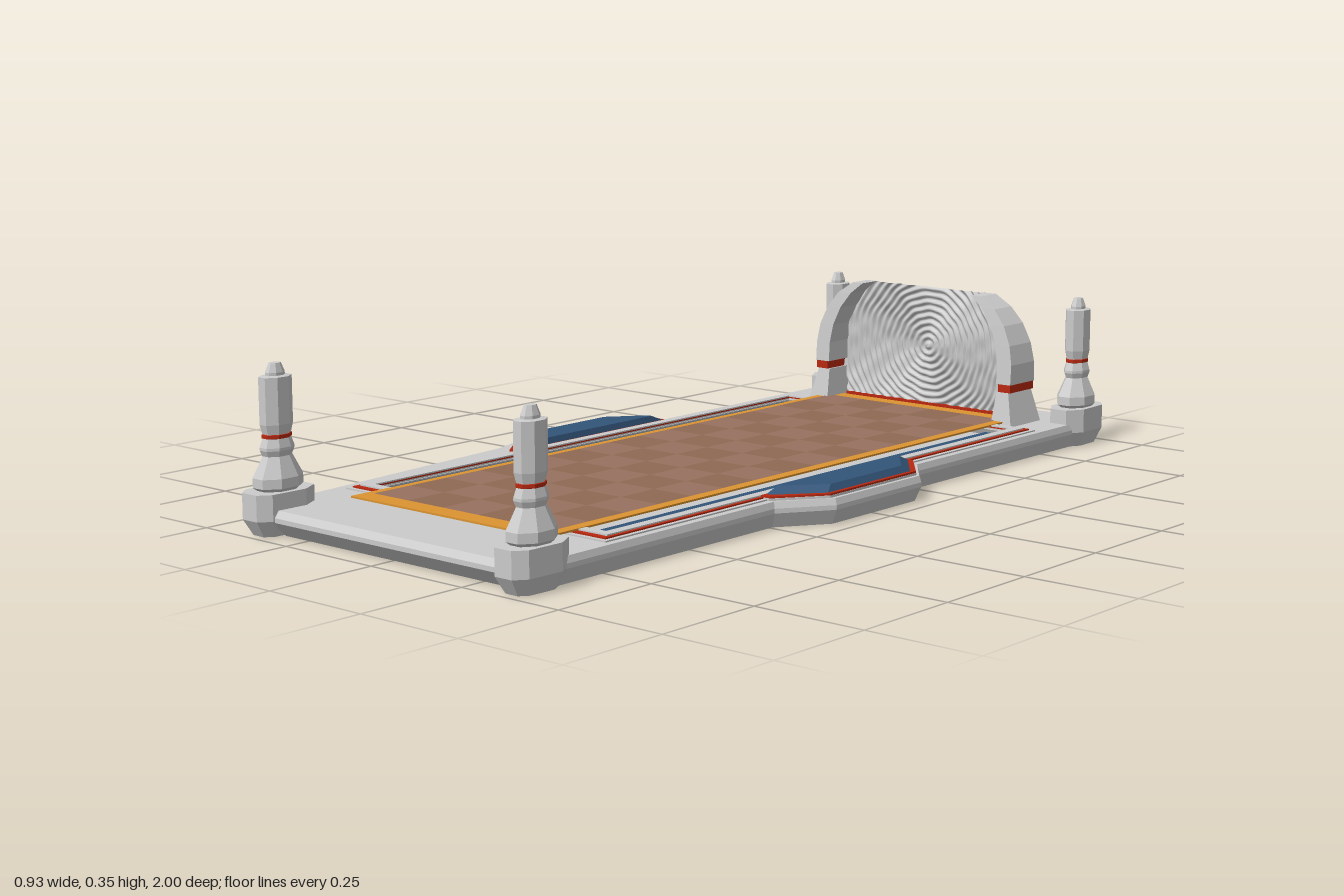
import * as THREE from 'three';

const mat = (color, extra = {}) => new THREE.MeshStandardMaterial({ color, flatShading: true, ...extra });
const GREY = mat(0xcccccc), RED = mat(0xb82810), BLUE = mat(0x33557a), ORANGE = mat(0xdc9430);
const BROWN_A = mat(0x8f6a54), BROWN_B = mat(0x987160);

function add(parent, name, geometry, material) {
  const mesh = new THREE.Mesh(geometry, material);
  mesh.name = name;
  parent.add(mesh);
  return mesh;
}

const rect = (hx, hz) => [[-hx, hz], [hx, hz], [hx, -hz], [-hx, -hz]];

// Horizontal slab from an [x, z] outline; bottom and top may be scaled about (cx, cz)
function slab(points, y0, y1, { bottom = 1, top = 1, hole = null, cx = 0, cz = 0 } = {}) {
  const toV = p => p.map(([x, z]) => new THREE.Vector2(x, -z));
  const shape = new THREE.Shape(toV(points));
  if (hole) shape.holes.push(new THREE.Path(toV(hole)));
  const g = new THREE.ExtrudeGeometry(shape, { depth: y1 - y0, bevelEnabled: false });
  g.rotateX(-Math.PI / 2).translate(0, y0, 0);
  const p = g.attributes.position;
  for (let i = 0; i < p.count; i++) {
    const s = p.getY(i) < (y0 + y1) / 2 ? bottom : top;
    p.setX(i, cx + (p.getX(i) - cx) * s);
    p.setZ(i, cz + (p.getZ(i) - cz) * s);
  }
  g.computeVertexNormals();
  return g;
}

// Box-section loft through [outerX, innerX, y, backZ, frontZ] rows, mirrored by side
function loft(rows, side) {
  const pos = [], idx = [], n = rows.length;
  for (const [xo, xi, y, zb, zf] of rows)
    pos.push(side * xo, y, zf, side * xo, y, zb, side * xi, y, zb, side * xi, y, zf);
  const quad = (a, b, c, d) => (side > 0 ? idx.push(a, b, c, a, c, d) : idx.push(a, c, b, a, d, c));
  for (let r = 0; r < n - 1; r++)
    for (let k = 0; k < 4; k++) {
      const a = r * 4 + k, b = r * 4 + (k + 1) % 4;
      quad(a, b, b + 4, a + 4);
    }
  quad(3, 2, 1, 0);
  const t = (n - 1) * 4;
  quad(t, t + 1, t + 2, t + 3);
  const g = new THREE.BufferGeometry();
  g.setAttribute('position', new THREE.Float32BufferAttribute(pos, 3));
  g.setIndex(idx);
  g.computeVertexNormals();
  return g;
}

function buildBase(root) {
  const base = new THREE.Group();
  base.name = 'base';
  root.add(base);
  // One side with a swollen middle; the -x side has a long tapering web toward the front
  const outline = [
    [-0.33, 0.97], [0.33, 0.97], [0.39, 0.93], [0.39, 0.25], [0.465, 0.14], [0.465, -0.155], [0.39, -0.25],
    [0.39, -0.93], [0.33, -0.975], [-0.33, -0.975], [-0.39, -0.93], [-0.39, -0.25],
    [-0.465, -0.155], [-0.465, 0.14], [-0.44, 0.22], [-0.395, 0.8], [-0.39, 0.93],
  ];
  const well = rect(0.33, 0.69);
  add(base, 'lowerHull', slab(outline, 0, 0.032, { bottom: 0.97 }), GREY);
  add(base, 'middleHull', slab(outline, 0.032, 0.042), GREY);
  add(base, 'deck', slab(outline, 0.042, 0.056, { top: 0.99, hole: well }), GREY);

  // Stepped rim around the sunken channels, with a red seam
  const rim = rect(0.37, 0.735);
  add(base, 'rimLower', slab(rim, 0.055, 0.059, { hole: well }), GREY);
  add(base, 'rimSeam', slab(rect(0.36, 0.725), 0.059, 0.062, { hole: well }), RED);
  add(base, 'rimUpper', slab(rect(0.352, 0.712), 0.062, 0.065, { hole: well }), GREY);

  // Blue channel strips and side fins
  for (const s of [-1, 1]) {
    const strip = add(base, 'channelStrip', new THREE.BoxGeometry(0.048, 0.012, 1.33), BLUE);
    strip.position.set(s * 0.302, 0.047, 0);
    const side = pts => pts.map(([x, z]) => [s * x, z]);
    const pad = side([[0.35, 0.25], [0.375, 0.25], [0.452, 0.145], [0.452, -0.155], [0.375, -0.25], [0.35, -0.25]]);
    const fin = side([[0.354, 0.232], [0.366, 0.232], [0.442, 0.14], [0.442, -0.145], [0.366, -0.24], [0.354, -0.24]]);
    const about = { cx: s * 0.38, cz: 0 };
    add(base, 'finPad', slab(pad, 0.055, 0.061), GREY);
    add(base, 'finSeam', slab(pad, 0.061, 0.065, { ...about, bottom: 0.99, top: 0.99 }), RED);
    add(base, 'sideFin', slab(fin, 0.065, 0.079, { ...about, top: 0.86 }), BLUE);
  }
}

function buildMat(root) {
  const floor = new THREE.Group();
  floor.name = 'floorMat';
  root.add(floor);
  add(floor, 'matBorder', slab(rect(0.277, 0.803), 0.062, 0.066), ORANGE);
  // Two-tone checker field
  const cols = 5, rows = 15, w = 0.51 / cols, d = 1.52 / rows;
  for (let c = 0; c < cols; c++)
    for (let r = 0; r < rows; r++) {
      const tile = add(floor, 'matTile', new THREE.PlaneGeometry(w, d), (c + r) % 2 ? BROWN_A : BROWN_B);
      tile.rotation.x = -Math.PI / 2;
      tile.position.set((c - (cols - 1) / 2) * w, 0.0672, (r - (rows - 1) / 2) * d);
    }
}

function buildCorner(root, sx, sz) {
  const corner = new THREE.Group();
  corner.name = 'cornerPost';
  corner.position.set(sx * 0.36, 0, sz * 0.924);
  root.add(corner);
  // Faceted foot
  const foot = [[-0.022, 0.076], [0.022, 0.076], [0.042, 0.05], [0.045, -0.035],
    [0.022, -0.076], [-0.022, -0.076], [-0.045, -0.035], [-0.042, 0.05]].map(([x, z]) => [x, z * sz]);
  add(corner, 'footLower', slab(foot, 0, 0.035, { bottom: 0.72 }), GREY);
  add(corner, 'footUpper', slab(foot, 0.035, 0.09), GREY);
  // Turned eight-sided post, deeper than wide
  const lathe = (name, pts, material) => {
    const g = new THREE.LatheGeometry(pts.map(([r, y]) => new THREE.Vector2(r, y)), 8);
    g.rotateY(Math.PI / 8);
    add(corner, name, g, material).scale.z = 1.4;
  };
  lathe('postBell', [[0, 0.088], [0.033, 0.089], [0.041, 0.097], [0.041, 0.117], [0.024, 0.16],
    [0.028, 0.172], [0.028, 0.178], [0.023, 0.197]], GREY);
  lathe('postBand', [[0.023, 0.196], [0.0245, 0.197], [0.0245, 0.204], [0.023, 0.205]], RED);
  lathe('postTop', [[0.023, 0.204], [0.027, 0.225], [0.027, 0.322], [0.016, 0.324], [0.016, 0.33],
    [0.01, 0.349], [0, 0.349]], GREY);
}

function buildPortal(root) {
  const portal = new THREE.Group();
  portal.name = 'endPortal';
  root.add(portal);
  // Curved horns on either side
  for (const s of [-1, 1]) {
    add(portal, 'hornFoot', loft([[0.302, 0.245, 0.055, -0.86, -0.735], [0.283, 0.25, 0.134, -0.845, -0.75]], s), GREY);
    add(portal, 'hornBand', loft([[0.289, 0.255, 0.134, -0.845, -0.749], [0.289, 0.255, 0.153, -0.845, -0.749]], s), RED);
    add(portal, 'horn', loft([[0.29, 0.25, 0.153, -0.848, -0.747], [0.29, 0.25, 0.2, -0.846, -0.75],
      [0.282, 0.242, 0.245, -0.842, -0.753], [0.262, 0.223, 0.29, -0.837, -0.757],
      [0.232, 0.195, 0.327, -0.831, -0.761], [0.192, 0.162, 0.354, -0.825, -0.765]], s), GREY);
  }
  const sill = add(portal, 'portalSill', new THREE.BoxGeometry(0.52, 0.012, 0.012), RED);
  sill.position.set(0, 0.064, -0.82);

  // Rippled sheet: rings about the centre, gently wobbling
  const y0 = 0.068, y1 = 0.354, cy = 0.21;
  const g = new THREE.PlaneGeometry(2, 1, 160, 90);
  const p = g.attributes.position;
  for (let i = 0; i < p.count; i++) {
    const y = y0 + (p.getY(i) + 0.5) * (y1 - y0);
    const up = Math.max(0, (y - 0.2) / (y1 - 0.2));
    const x = p.getX(i) * (0.265 - 0.085 * up * up);
    const r = Math.hypot(x, y - cy), a = Math.atan2(y - cy, x);
    const wobble = r * (5 * Math.sin(3 * a + 1) + 4 * Math.sin(7 * a + 20 * r) + 3 * Math.sin(13 * a - 35 * r));
    const z = 0.0035 * Math.sin(r * 370 + wobble) + 0.001 * Math.sin(x * 90) * Math.sin(y * 110);
    p.setXYZ(i, x, y, -0.82 + z);
  }
  g.computeVertexNormals();
  add(portal, 'rippleSheet', g, mat(0xcccccc, { flatShading: false, side: THREE.DoubleSide }));
}

export function createModel() {
  const root = new THREE.Group();
  root.name = 'platform';
  buildBase(root);
  buildMat(root);
  for (const sx of [-1, 1]) for (const sz of [-1, 1]) buildCorner(root, sx, sz);
  buildPortal(root);
  return root;
}
